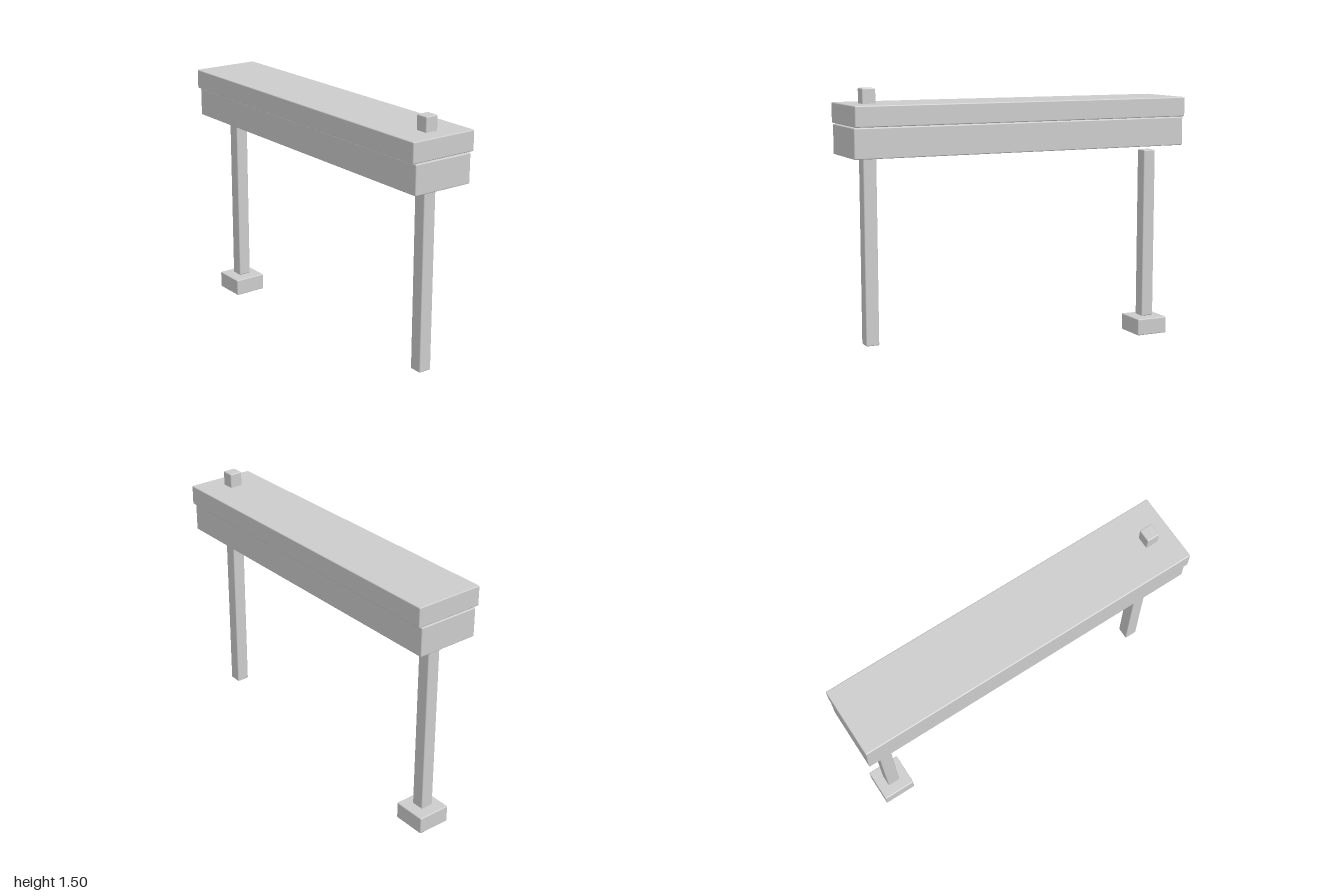
import * as THREE from 'three';
import { RoundedBoxGeometry } from 'three/addons/geometries/RoundedBoxGeometry.js';

const material = new THREE.MeshStandardMaterial({ color: 0xcccccc });

// Softly bevelled block standing between heights y0 and y1
function block(name, width, depth, y0, y1, x = 0) {
  const geometry = new RoundedBoxGeometry(width, y1 - y0, depth, 2, 0.006);
  const mesh = new THREE.Mesh(geometry, material);
  mesh.name = name;
  mesh.position.set(x, (y0 + y1) / 2, 0);
  return mesh;
}

export function createModel() {
  const group = new THREE.Group();
  group.name = 'beamOnPosts';
  const postX = 0.867, postSize = 0.075;

  // Deck slab resting just above a slightly narrower beam
  group.add(block('deckSlab', 2, 0.4, 1.304, 1.416));
  group.add(block('beam', 2, 0.36, 1.136, 1.3));

  // Short post on its footing
  group.add(block('footing', 0.194, 0.194, 0, 0.098, -postX));
  group.add(block('shortPost', postSize, postSize, 0.102, 1.1, -postX));

  // Tall post running up through the beam and deck
  group.add(block('tallPost', postSize, postSize, 0.102, 1.498, postX));

  return group;
}
